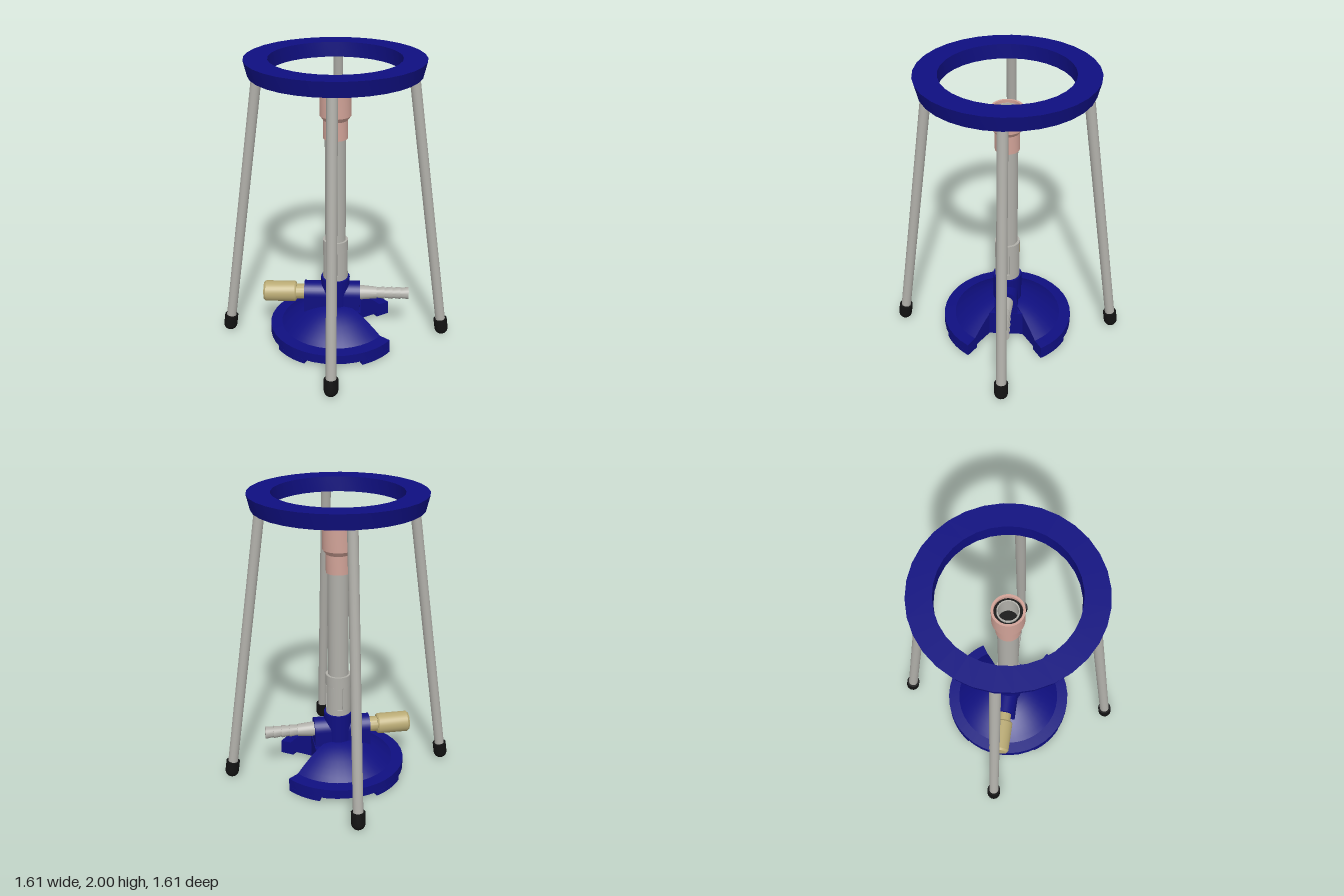
import * as THREE from 'three';
import { toCreasedNormals } from 'three/addons/utils/BufferGeometryUtils.js';

const SEG = 32;
const mat = (name, color, side = THREE.FrontSide) =>
  new THREE.MeshStandardMaterial({ name, color, side });

export function createModel() {
  const model = new THREE.Group();
  model.name = 'gasBurnerWithStand';
  const navy = mat('navyEnamel', 0x0f0f80, THREE.DoubleSide);
  const steel = mat('steel', 0xb0afa9);
  const copper = mat('copper', 0xd0a297);
  const brass = mat('brass', 0xb9aa74);
  const black = mat('blackRubber', 0x121212);

  function add(name, geometry, material, parent = model) {
    const mesh = new THREE.Mesh(geometry, material);
    mesh.name = name;
    parent.add(mesh);
    return mesh;
  }
  const vec = pts => pts.map(([x, y]) => new THREE.Vector2(x, y));
  // Turned part from a profile of [radius, height], with crisp edges
  const lathe = (pts, start = 0, length = Math.PI * 2, seg = SEG) =>
    toCreasedNormals(new THREE.LatheGeometry(vec(pts), seg, start, length), 0.5);
  // Flat plan outline (x, -z) raised from y0 to y1
  function prism(shape, y0, y1) {
    const g = new THREE.ExtrudeGeometry(shape, { depth: y1 - y0, bevelEnabled: false, curveSegments: 8 });
    return g.rotateX(-Math.PI / 2).translate(0, y0, 0);
  }
  function ringSector(r0, r1, a0, a1) {
    const s = new THREE.Shape();
    s.absarc(0, 0, r1, a0, a1, false);
    s.absarc(0, 0, r0, a1, a0, true);
    s.closePath();
    return s;
  }

  // Stand ring
  add('standRing', lathe([[0.425, 1.9], [0.553, 1.9], [0.577, 2], [0.425, 2], [0.425, 1.9]]), navy);

  // Four splayed legs with rubber feet
  const foot = new THREE.Vector3(0.757, 0.047, 0);
  const legDir = new THREE.Vector3(0.495, 1.905, 0).sub(foot);
  const legLength = legDir.length();
  const tipProfile = [];
  for (let i = 0; i <= 6; i++) {
    const a = (i / 6) * Math.PI / 2;
    tipProfile.push([0.047 * Math.sin(a), -0.047 * Math.cos(a)]);
  }
  tipProfile.push([0.047, 0.075], [0, 0.075]);
  for (let i = 0; i < 4; i++) {
    const turn = new THREE.Group();
    turn.name = 'standLeg' + (i + 1);
    turn.rotation.y = i * Math.PI / 2;
    const leg = new THREE.Group();
    leg.name = 'tiltedLeg';
    leg.position.copy(foot);
    leg.rotation.z = Math.atan2(-legDir.x, legDir.y);
    add('legRod', new THREE.CylinderGeometry(0.034, 0.034, legLength, 16).translate(0, legLength / 2, 0), steel, leg);
    add('rubberFoot', lathe(tipProfile, 0, Math.PI * 2, 20), black, leg);
    turn.add(leg);
    model.add(turn);
  }

  // Domed base with a wedge cut out on the hose side
  const cut = Math.atan2(0.24, 0.36);
  const section = [[0, 0.03], [0.46, 0.03], [0.46, 0.095], [0.38, 0.1], [0.345, 0.127], [0.3, 0.158],
    [0.25, 0.189], [0.2, 0.216], [0.15, 0.236], [0.1, 0.25], [0, 0.25]];
  add('base', lathe(section, Math.PI / 2 + cut, Math.PI * 2 - cut * 2), navy);
  for (const s of [-1, 1]) {
    const wall = add('baseCutWall', new THREE.ShapeGeometry(new THREE.Shape(vec(section))), navy);
    wall.rotation.y = s * cut;
  }
  add('baseCore', prism(new THREE.Shape(vec([[0, 0], [0.178, -0.119], [0.178, 0.119]])), 0.03, 0.22), navy);

  // Base pads
  for (const [a0, a1] of [[cut, 1.13], [Math.PI - 1.13, Math.PI - cut]]) {
    for (const s of [1, -1]) {
      const sector = s > 0 ? ringSector(0.36, 0.46, a0, a1) : ringSector(0.36, 0.46, -a1, -a0);
      add('basePad', prism(sector, 0, 0.031), navy);
    }
  }

  // Valve body: upright hub, horizontal barrel and its web
  add('hub', lathe([[0.1, 0.2], [0.1, 0.45], [0.06, 0.45]]), navy);
  const barrel = add('barrel', new THREE.CylinderGeometry(0.08, 0.08, 0.39, SEG), navy);
  barrel.rotation.z = Math.PI / 2;
  barrel.position.set(-0.022, 0.322, 0);
  const web = add('barrelWeb', new THREE.BoxGeometry(0.39, 0.12, 0.16), navy);
  web.position.set(-0.022, 0.262, 0);

  // Gas adjusting knob, turned about x
  const knob = add('valveKnob', lathe([[0.053, 0.2], [0.053, 0.275], [0.064, 0.275], [0.072, 0.285],
    [0.072, 0.49], [0.06, 0.505], [0, 0.505]]), brass);
  knob.rotation.z = Math.PI / 2;
  knob.position.y = 0.322;

  // Barbed hose connector
  const barb = [[0.05, 0.16], [0.05, 0.19], [0.041, 0.29]];
  for (let i = 0; i < 4; i++) {
    const x = 0.29 + i * 0.056;
    barb.push([0.036, x], [0.043, x + 0.056]);
  }
  barb.unshift([0.046, 0.16]);
  barb.push([0.024, 0.514], [0.024, 0.47]);
  const hose = new THREE.Group();
  hose.name = 'hoseConnector';
  hose.rotation.z = -Math.PI / 2;
  hose.position.y = 0.322;
  add('hoseBarb', lathe(barb, 0, Math.PI * 2, 24), steel, hose);
  add('hoseBore', new THREE.CylinderGeometry(0.025, 0.025, 0.01, 24).translate(0, 0.475, 0), black, hose);
  model.add(hose);

  // Burner tube with open mouth
  add('burnerTube', lathe([[0.07, 0.44], [0.07, 1.76], [0.062, 1.76], [0.062, 1.6]]), steel);
  add('tubeBore', new THREE.CylinderGeometry(0.064, 0.064, 0.02, SEG).translate(0, 1.61, 0), black);

  // Air collar with four slots
  add('collarTop', lathe([[0.068, 0.66], [0.086, 0.66], [0.086, 0.74], [0.068, 0.74]]), steel);
  add('collarBottom', lathe([[0.086, 0.44], [0.086, 0.49], [0.068, 0.49]]), steel);
  const slot = 0.24;
  for (let i = 0; i < 4; i++) {
    const a = i * Math.PI / 2;
    add('collarWall', toCreasedNormals(
      prism(ringSector(0.068, 0.086, a + slot, a + Math.PI / 2 - slot), 0.49, 0.66), 0.5), steel);
  }

  // Copper flame head
  add('flameHead', lathe([[0.069, 1.47], [0.081, 1.47], [0.081, 1.595], [0.103, 1.625], [0.103, 1.77],
    [0.088, 1.77], [0.088, 1.72], [0.069, 1.72]]), copper);
  add('flameHeadGap', lathe([[0.089, 1.745], [0.069, 1.745]]), black);

  return model;
}
